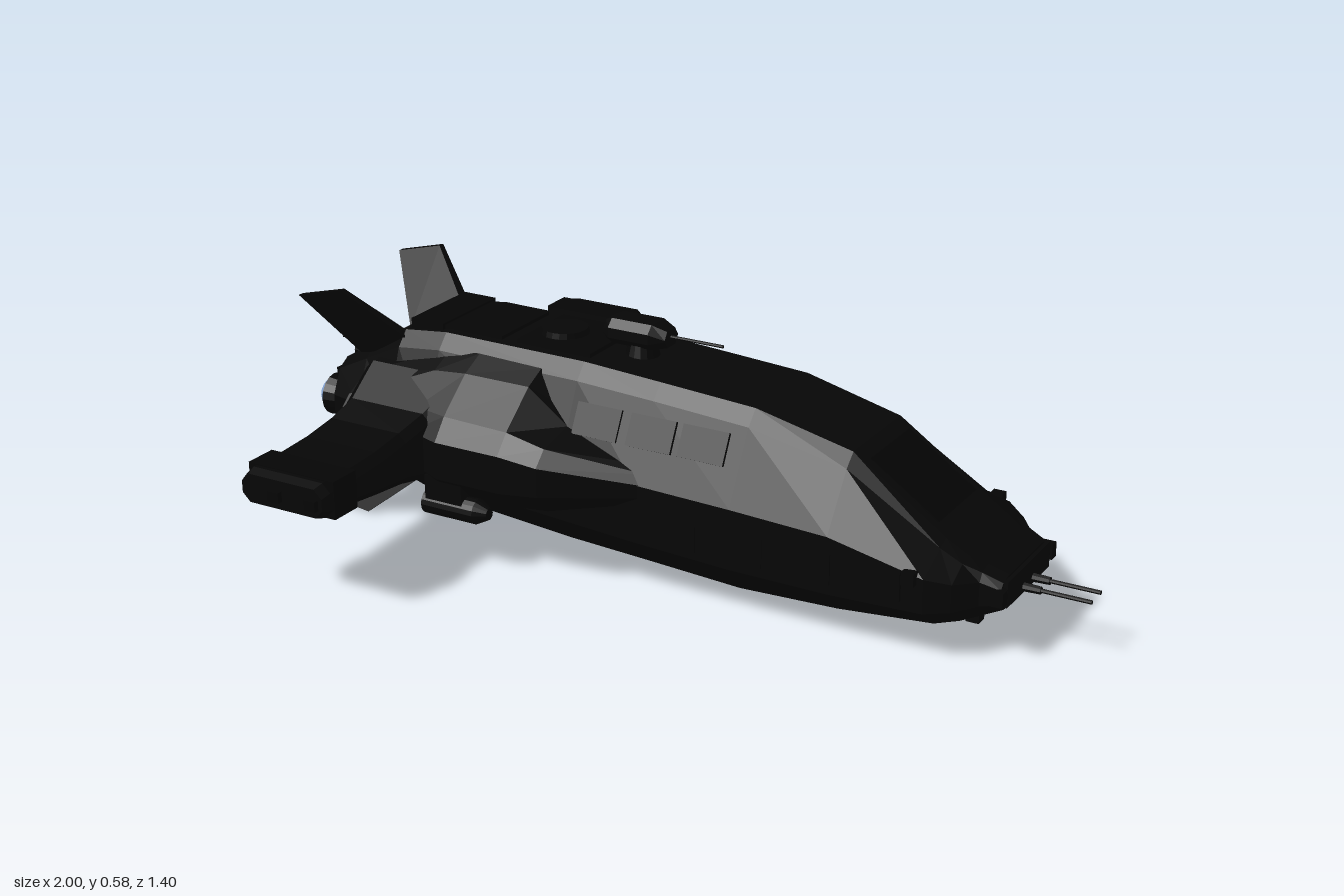
import * as THREE from 'three';

const mat = (name, color) => {
  const m = new THREE.MeshStandardMaterial({ color, flatShading: true });
  m.name = name;
  return m;
};

export function createModel() {
  const ship = new THREE.Group();
  ship.name = 'spaceship';
  const hullMat = mat('hull black', 0x060606);
  const trimMat = mat('trim black', 0x050505);
  const glassMat = mat('window black', 0x040404);
  const glowMat = mat('engine blue', 0x7f9fd0);

  const add = (name, geo, m, x = 0, y = 0, z = 0) => {
    const mesh = new THREE.Mesh(geo, m);
    mesh.name = name;
    mesh.position.set(x, y, z);
    ship.add(mesh);
    return mesh;
  };
  const box = (name, w, h, d, m, x, y, z) => add(name, new THREE.BoxGeometry(w, h, d), m, x, y, z);
  // Tube or cone lying along x; r1 is the radius at the +x end
  const rod = (name, r1, r2, len, m, x, y, z, sides = 16) => {
    const g = new THREE.CylinderGeometry(r1, r2, len, sides);
    g.rotateZ(-Math.PI / 2);
    return add(name, g, m, x, y, z);
  };

  // Skin a list of equal-length rings, close both ends, face outwards
  const loft = (rings) => {
    const tris = [];
    const n = rings[0].length;
    for (let i = 0; i < rings.length - 1; i++) {
      for (let j = 0; j < n; j++) {
        const k = (j + 1) % n, a = rings[i], b = rings[i + 1];
        tris.push([a[j], a[k], b[k]], [a[j], b[k], b[j]]);
      }
    }
    const cap = (r, flip) => {
      const c = [0, 1, 2].map((q) => r.reduce((s, p) => s + p[q], 0) / n);
      for (let j = 0; j < n; j++) {
        const k = (j + 1) % n;
        tris.push(flip ? [c, r[k], r[j]] : [c, r[j], r[k]]);
      }
    };
    cap(rings[0], true);
    cap(rings[rings.length - 1], false);
    let volume = 0;
    for (const [a, b, c] of tris) {
      volume += new THREE.Vector3(...a).dot(new THREE.Vector3(...b).cross(new THREE.Vector3(...c)));
    }
    if (volume < 0) tris.forEach((t) => t.reverse());
    const g = new THREE.BufferGeometry();
    g.setAttribute('position', new THREE.Float32BufferAttribute(tris.flat(2), 3));
    g.computeVertexNormals();
    return g;
  };
  // Ring at one x from a half outline of [z, y] pairs, mirrored in z
  const ring = (x, half) => [
    ...half.map(([z, y]) => [x, y, z]),
    ...half.slice().reverse().map(([z, y]) => [x, y, -z]),
  ];

  // Main hull: x, roof y and half width, shoulder y, belt z/y, low side y, chine z/y, keel y
  const sections = [
    [-0.92, 0.35, 0.07, 0.33, 0.13, 0.27, 0.22, 0.11, 0.18, 0.16],
    [-0.82, 0.41, 0.09, 0.38, 0.17, 0.28, 0.2, 0.14, 0.15, 0.135],
    [-0.7, 0.475, 0.12, 0.44, 0.21, 0.28, 0.18, 0.17, 0.13, 0.11],
    [-0.58, 0.49, 0.125, 0.455, 0.23, 0.28, 0.16, 0.18, 0.1, 0.085],
    [-0.2, 0.487, 0.125, 0.45, 0.24, 0.27, 0.14, 0.19, 0.075, 0.06],
    [0, 0.475, 0.125, 0.44, 0.245, 0.27, 0.13, 0.19, 0.065, 0.048],
    [0.24, 0.46, 0.125, 0.425, 0.243, 0.262, 0.118, 0.19, 0.052, 0.031],
    [0.476, 0.404, 0.12, 0.375, 0.24, 0.25, 0.115, 0.18, 0.055, 0.036],
    [0.7, 0.252, 0.12, 0.24, 0.235, 0.2, 0.12, 0.17, 0.07, 0.056],
    [0.75, 0.222, 0.115, 0.213, 0.2, 0.185, 0.12, 0.15, 0.08, 0.067],
    [0.79, 0.203, 0.1, 0.196, 0.145, 0.178, 0.122, 0.125, 0.092, 0.08],
    [0.835, 0.185, 0.09, 0.178, 0.135, 0.165, 0.13, 0.115, 0.112, 0.105],
  ];
  add('hull', loft(sections.map(([x, yt, wt, ys, wm, ym, yl, wl, yk, yb]) =>
    ring(x, [[wt, yt], [wt + 0.032, ys], [wm, ym], [wm, yl], [wl, yk], [wl * 0.56, yb]]))), hullMat);

  // Roof plates, hatch and keel
  for (const [x, w] of [[-0.52, 0.16], [-0.3, 0.2]]) box('roofPlate', w, 0.014, 0.2, trimMat, x, 0.49, 0);
  add('roofHatch', new THREE.CylinderGeometry(0.055, 0.06, 0.025, 20), hullMat, -0.33, 0.498, 0);
  box('roofVent', 0.09, 0.03, 0.22, trimMat, -0.645, 0.487, 0);
  box('keel', 0.5, 0.02, 0.1, trimMat, 0.1, 0.045, 0).rotation.z = -0.055;
  box('keelSensor', 0.025, 0.03, 0.025, trimMat, 0.38, 0.037, 0);

  // Cockpit pane on the sloping nose
  const pane = box('cockpitWindow', 0.2, 0.008, 0.2, glassMat, 0.588, 0.328, 0);
  pane.rotation.z = -Math.atan2(0.152, 0.224);

  // Turret on a short neck with one barrel
  add('turretNeck', new THREE.CylinderGeometry(0.032, 0.042, 0.04, 16), trimMat, -0.12, 0.495, 0);
  add('turret', loft([[-0.205, 0.034, 0.512, 0.556], [-0.185, 0.047, 0.505, 0.565],
    [-0.08, 0.047, 0.505, 0.565], [-0.045, 0.03, 0.513, 0.552]].map(([x, w, lo, hi]) =>
    ring(x, [[w * 0.6, hi], [w, hi - 0.018], [w, lo + 0.018], [w * 0.6, lo]]))), hullMat);
  rod('turretBarrel', 0.004, 0.004, 0.16, trimMat, 0.01, 0.535, 0, 8);

  // Nose block
  box('noseBlock', 0.04, 0.06, 0.24, hullMat, 0.825, 0.15, 0);
  box('noseBar', 0.025, 0.03, 0.28, trimMat, 0.83, 0.15, 0);

  // Tail block, dark auxiliary nozzle and antenna
  rod('auxiliaryNozzle', 0.026, 0.034, 0.09, trimMat, -0.88, 0.355, 0);
  box('engineBlock', 0.1, 0.15, 0.2, trimMat, -0.88, 0.255, 0);
  rod('tailAntenna', 0.004, 0.004, 0.16, trimMat, -0.88, 0.385, 0.03, 6);

  // Nozzle ending at x with a glowing core that sticks out by a set amount
  const engine = (x, y, z, r, out) => {
    rod('nozzle', r * 0.75, r, 0.09, trimMat, x + 0.045, y, z);
    const glow = add('engineGlow', new THREE.SphereGeometry(r * 0.8, 16, 10), glowMat, x, y, z);
    glow.scale.x = out / (r * 0.8);
  };

  for (const s of [1, -1]) {
    // Side windows leaning with the upper wall
    for (const x of [-0.125, 0.015, 0.148]) {
      box('sideWindow', 0.115, 0.075, 0.008, glassMat, x, 0.378, s * 0.193).rotation.x = -s * 0.47;
    }
    // Belt panels along the lower side
    for (let i = 0; i < 4; i++) box('sidePanel', 0.15, 0.07, 0.008, trimMat, 0.08 + i * 0.165, 0.175, s * 0.24);
    box('noseLamp', 0.03, 0.03, 0.025, trimMat, 0.67, 0.2, s * 0.24);
    box('noseClamp', 0.035, 0.035, 0.025, trimMat, 0.83, 0.15, s * 0.14);
    box('chinFoot', 0.03, 0.03, 0.03, trimMat, 0.77, 0.085, s * 0.11);

    // Shoulder fairing carrying the wing, low beside the windows
    const shoulder = [
      [0.02, [[0.15, 0.3], [0.19, 0.3], [0.22, 0.29], [0.24, 0.27], [0.24, 0.24], [0.22, 0.22], [0.15, 0.22]]],
      [-0.2, [[0.15, 0.36], [0.2, 0.355], [0.3, 0.335], [0.335, 0.3], [0.335, 0.23], [0.29, 0.18], [0.15, 0.16]]],
      [-0.3, [[0.15, 0.46], [0.205, 0.433], [0.3, 0.355], [0.34, 0.31], [0.34, 0.22], [0.29, 0.17], [0.15, 0.15]]],
      [-0.47, [[0.15, 0.465], [0.21, 0.435], [0.3, 0.36], [0.34, 0.31], [0.34, 0.22], [0.29, 0.17], [0.15, 0.15]]],
      [-0.56, [[0.14, 0.455], [0.205, 0.425], [0.28, 0.36], [0.31, 0.31], [0.31, 0.23], [0.27, 0.18], [0.15, 0.16]]],
      [-0.77, [[0.13, 0.4], [0.19, 0.38], [0.26, 0.345], [0.3, 0.31], [0.3, 0.25], [0.26, 0.22], [0.14, 0.2]]],
    ];
    add('shoulderFairing', loft(shoulder.map(([x, pts]) => pts.map(([z, y]) => [x, y, s * z]))), hullMat);
    engine(-0.777, 0.29, s * 0.25, 0.038, 0.01);

    // Wing: z, trailing x, leading x, low y, high y
    const wing = [
      [0.2, -0.76, -0.48, 0.19, 0.415], [0.3, -0.75, -0.51, 0.195, 0.355], [0.38, -0.75, -0.52, 0.208, 0.333],
      [0.47, -0.75, -0.52, 0.217, 0.32], [0.56, -0.75, -0.52, 0.228, 0.315], [0.66, -0.75, -0.52, 0.232, 0.315],
      [0.685, -0.745, -0.525, 0.24, 0.308],
    ].map(([z, a, b, lo, hi]) => [[a + 0.02, hi], [b - 0.02, hi], [b, hi - 0.02], [b, lo + 0.02],
      [b - 0.02, lo], [a + 0.02, lo], [a, lo + 0.02], [a, hi - 0.02]].map(([x, y]) => [x, y, s * z]));
    add('wing', loft(wing), hullMat);
    box('wingTipBand', 0.234, 0.09, 0.08, trimMat, -0.635, 0.273, s * 0.61);
    for (const x of [-0.65, -0.55]) box('wingTipLight', 0.03, 0.025, 0.02, trimMat, x, 0.272, s * 0.688);

    // Pod slung under the wing root
    rod('wingPod', 0.03, 0.03, 0.14, trimMat, -0.45, 0.145, s * 0.305);
    rod('wingPodNose', 0.014, 0.03, 0.03, trimMat, -0.365, 0.145, s * 0.305);
    box('wingPodPylon', 0.1, 0.07, 0.05, hullMat, -0.46, 0.185, s * 0.305);

    // Swept tail fins
    const fin = (name, root, tip, t) => add(name, loft([root, tip].map(([x0, y0, x1, y1, z], i) => {
      const h = t / (i + 1);
      return [[x0, y0, s * (z - h)], [x1, y1, s * (z - h)], [x1, y1, s * (z + h)], [x0, y0, s * (z + h)]];
    })), hullMat);
    fin('upperFin', [-0.84, 0.39, -0.66, 0.43, 0.1], [-0.945, 0.545, -0.82, 0.577, 0.2], 0.016);
    fin('lowerFin', [-0.85, 0.17, -0.64, 0.13, 0.11], [-0.945, 0.022, -0.8, 0.002, 0.168], 0.014);

    // Main engines and nose guns
    engine(-0.97, 0.243, s * 0.063, 0.052, 0.03);
    rod('noseGun', 0.005, 0.005, 0.17, trimMat, 0.915, 0.132, s * 0.027, 8);
    rod('noseGunSleeve', 0.009, 0.011, 0.05, trimMat, 0.86, 0.132, s * 0.027, 8);
  }
  return ship;
}
